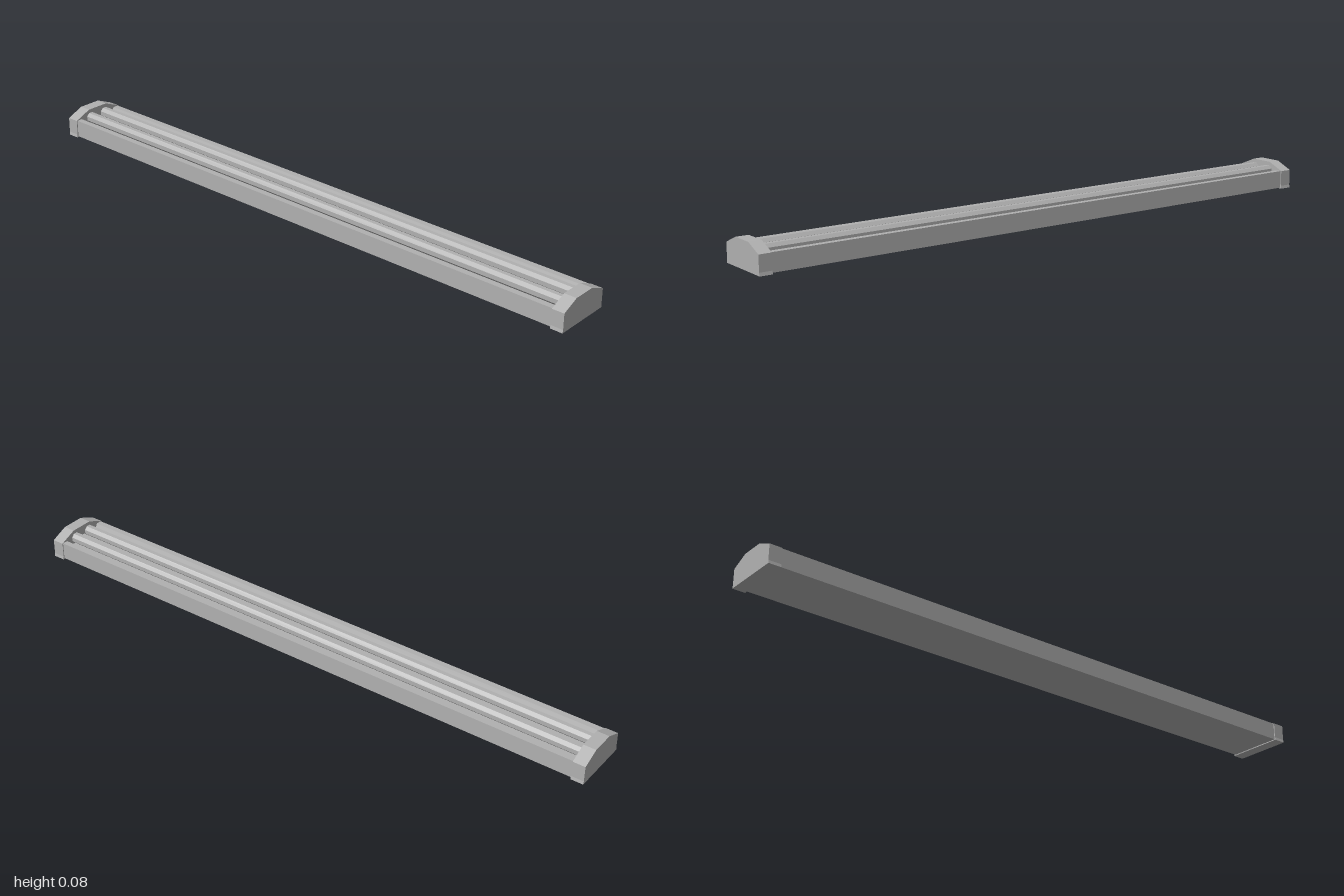
import * as THREE from 'three';

export function createModel() {
  const model = new THREE.Group();
  model.name = 'twinTubeBatten';
  const grey = new THREE.MeshStandardMaterial({ color: 0xb0b0b0, flatShading: true });
  grey.name = 'grey';

  // Extrudes a mirrored half profile (bottom to top) along z
  function prism(name, half, length, z) {
    const mirrored = half.slice().reverse().map(([x, y]) => [-x, y]);
    const shape = new THREE.Shape([...half, ...mirrored].map(([x, y]) => new THREE.Vector2(x, y)));
    const geo = new THREE.ExtrudeGeometry(shape, { depth: length, bevelEnabled: false });
    geo.translate(0, 0, z - length / 2);
    const mesh = new THREE.Mesh(geo, grey);
    mesh.name = name;
    model.add(mesh);
  }

  // Channel body: side rims, two sloping troughs and a low centre ridge
  prism('channelBody', [
    [0.091, 0.003], [0.091, 0.06], [0.072, 0.06], [0.062, 0.036],
    [0.022, 0.036], [0.01, 0.05],
  ], 1.92, 0);

  // End caps with a chamfered top
  for (const [name, z] of [['frontCap', 0.98], ['backCap', -0.98]]) {
    prism(name, [[0.096, 0], [0.094, 0.01], [0.094, 0.06], [0.038, 0.084]], 0.04, z);
  }

  // Two octagonal lamp tubes
  for (const [name, x] of [['leftTube', 0.031], ['rightTube', -0.031]]) {
    const geo = new THREE.CylinderGeometry(0.018, 0.018, 1.93, 8);
    geo.rotateY(Math.PI / 8);
    geo.rotateX(Math.PI / 2);
    const tube = new THREE.Mesh(geo, grey);
    tube.name = name;
    tube.position.set(x, 0.055, 0);
    model.add(tube);
  }

  return model;
}
